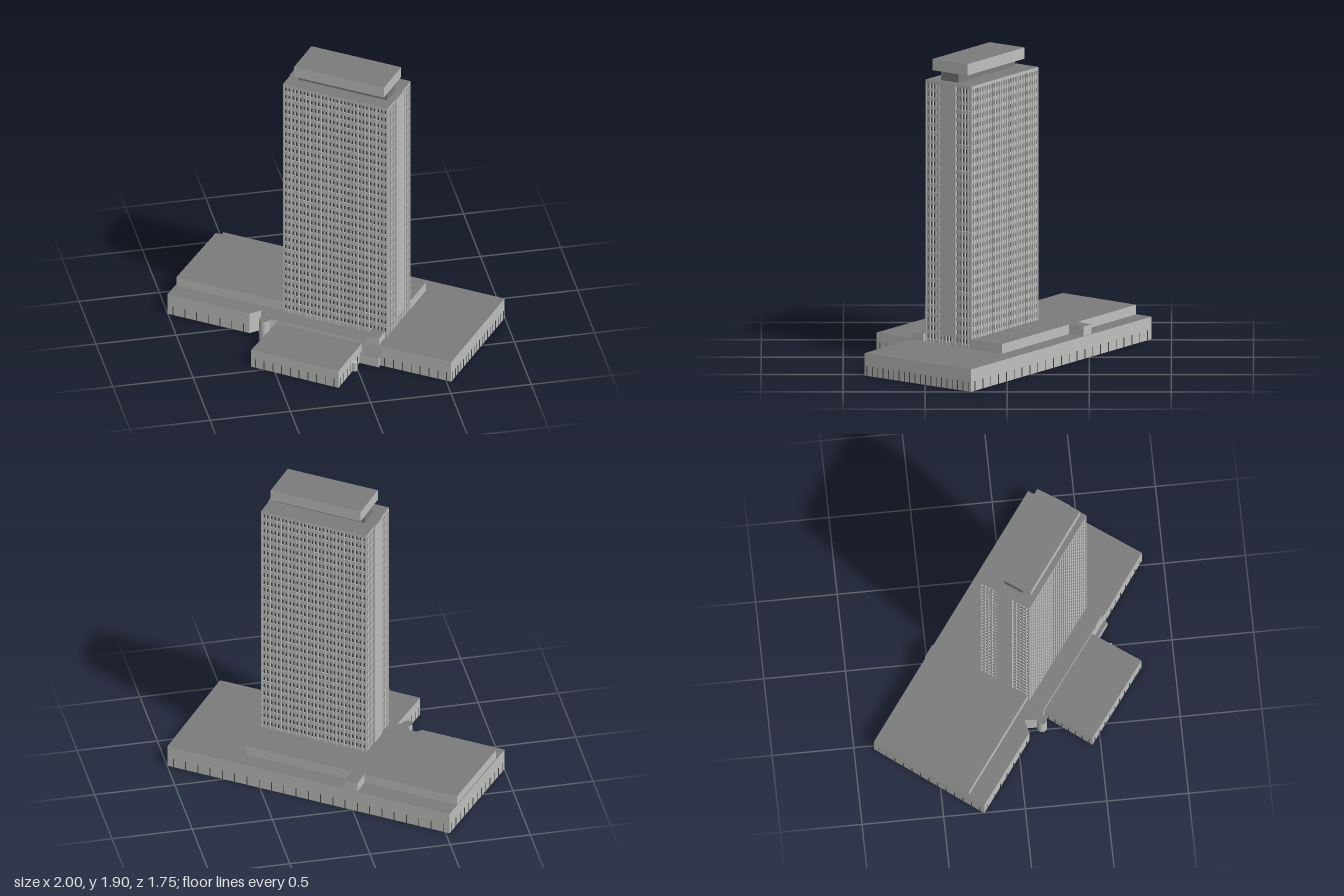
import * as THREE from 'three';
import { mergeGeometries } from 'three/addons/utils/BufferGeometryUtils.js';

const material = (name, color) => {
  const m = new THREE.MeshStandardMaterial({ color, side: THREE.DoubleSide });
  m.name = name;
  return m;
};

export function createModel() {
  const wall = material('pale concrete', 0xc0c1be);
  const roof = material('grey roofing', 0x7c7c7c);
  const dark = material('dark glazing', 0x4c4c4c);

  // The whole building is turned on its plot; parts are placed along its own axes
  const model = new THREE.Group();
  model.name = 'towerBlock';
  const building = new THREE.Group();
  building.name = 'building';
  building.rotation.y = -0.623;
  model.add(building);

  const add = (name, geometry, mat) => {
    const mesh = new THREE.Mesh(geometry, mat);
    mesh.name = name;
    building.add(mesh);
  };
  const boxGeo = (x0, x1, y0, y1, z0, z1) =>
    new THREE.BoxGeometry(x1 - x0, y1 - y0, z1 - z0)
      .translate((x0 + x1) / 2, (y0 + y1) / 2, (z0 + z1) / 2);
  const roofed = [wall, wall, roof, wall, wall, wall];
  const block = (name, ...r) => add(name, boxGeo(...r), roofed);
  const rect = (x0, x1, z0, z1) => [[x0, z0], [x0, z1], [x1, z1], [x1, z0]];

  // Thin walls around a plan outline of [x, z] corners, facing outwards
  const wallsGeo = (outline, y0, y1) => mergeGeometries(outline.map(([ax, az], i) => {
    const [bx, bz] = outline[(i + 1) % outline.length];
    return new THREE.PlaneGeometry(Math.hypot(bx - ax, bz - az), y1 - y0)
      .rotateY(-Math.atan2(bz - az, bx - ax))
      .translate((ax + bx) / 2, (y0 + y1) / 2, (az + bz) / 2);
  }));

  // Hollow flat-roofed storey, open below, with an optional opening in the roof
  const shell = (name, outline, y0, y1, opening) => {
    const points = (list) => list.map(([x, z]) => new THREE.Vector2(x, -z));
    const shape = new THREE.Shape(points(outline));
    if (opening) shape.holes.push(new THREE.Path(points(opening)));
    add(name + 'Roof', new THREE.ShapeGeometry(shape).rotateX(-Math.PI / 2).translate(0, y1, 0), roof);
    add(name + 'Walls', wallsGeo(outline, y0, y1), wall);
  };

  const X0 = -0.235, X1 = 0.463, Z0 = -0.065, Z1 = 0.282, Y0 = 0.14, Y1 = 1.777;

  // Raised terrace with a short link to the back edge
  const terrace = [
    [-0.936, -0.294], [-0.322, -0.294], [-0.322, -0.402], [-0.235, -0.402], [-0.235, -0.294],
    [0.464, -0.293], [0.464, -0.062], [0.445, -0.062], [0.445, 0.267], [-0.951, 0.267],
  ];
  shell('terrace', terrace, 0.14, 0.2);

  // Podium, with a notched entrance in its front edge
  shell('podium', [
    [-0.936, -0.408], [0.94, -0.404], [0.937, 0.397], [0.466, 0.4], [0.339, 0.39],
    [-0.233, 0.385], [-0.306, 0.404], [-0.361, 0.318], [-0.413, 0.383], [-0.961, 0.381],
  ], 0, 0.14, terrace);

  // Foot of the tower's front wall, running down inside the podium
  add('towerFoot', boxGeo(X0, X1, 0, 0.14, 0.262, 0.267), wall);

  // Front wing and small entrance parts
  shell('frontWing', [[-0.235, 0.386], [0.338, 0.391], [0.337, 0.739], [-0.248, 0.731]], 0, 0.12);
  block('entranceBox', 0.37, 0.455, 0.13, 0.187, 0.302, 0.396);
  block('entrancePorch', 0.339, 0.466, 0, 0.065, 0.402, 0.425);
  add('entrancePost', new THREE.CylinderGeometry(0.016, 0.016, 0.06, 12).translate(0.346, 0.03, 0.514), wall);
  add('cornerDrum', new THREE.CylinderGeometry(0.032, 0.032, 0.142, 20).translate(-0.303, 0.071, 0.408), [wall, roof, wall]);

  // Narrow slots along the foot of the low walls, from a to b
  const slots = [];
  const slotRow = (a, b, step) => {
    const dx = b[0] - a[0], dz = b[1] - a[1];
    const n = Math.round(Math.hypot(dx, dz) / step);
    for (let i = 0; i < n; i++) {
      const t = (i + 0.5) / n;
      slots.push(new THREE.BoxGeometry(0.005, 0.06, 0.005)
        .rotateY(-Math.atan2(dz, dx))
        .translate(a[0] + dx * t, 0.031, a[1] + dz * t));
    }
  };
  slotRow([-0.936, -0.408], [0.94, -0.404], 0.08);
  slotRow([0.94, -0.404], [0.937, 0.397], 0.04);
  slotRow([0.937, 0.397], [0.466, 0.4], 0.06);
  slotRow([-0.413, 0.383], [-0.961, 0.381], 0.08);
  slotRow([-0.961, 0.381], [-0.936, -0.408], 0.06);
  slotRow([0.337, 0.739], [-0.248, 0.731], 0.06);
  slotRow([-0.248, 0.731], [-0.235, 0.39], 0.05);
  slotRow([0.338, 0.43], [0.337, 0.739], 0.05);
  add('wallSlots', mergeGeometries(slots), dark);

  // Tower: recessed glazing behind a grid of fins and floor bands
  const deep = 0.01;
  add('towerGlazing', wallsGeo(rect(X0 + deep, X1 - deep, Z0 + deep, Z1 - deep), Y0, Y1 - 0.01), dark);

  const bands = [], floors = 30, rise = (Y1 - 0.02 - Y0) / floors, out = 0.004;
  for (let i = 0; i < floors; i++) {
    const y = Y0 + i * rise, top = y + rise * 0.45;
    bands.push(
      boxGeo(X0 + out, X1 - out, y, top, Z0 + out, Z0 + deep),
      boxGeo(X0 + out, X1 - out, y, top, Z1 - deep, Z1 - out),
      boxGeo(X0 + out, X0 + deep, y, top, Z0 + deep, Z1 - deep),
      boxGeo(X1 - deep, X1 - out, y, top, Z0 + deep, Z1 - deep),
    );
  }
  add('floorBands', mergeGeometries(bands), wall);

  const fins = [], half = 0.005, longBays = 28, shortBays = 14;
  for (let i = 0; i <= longBays; i++) {
    const x = THREE.MathUtils.lerp(X0 + half, X1 - half, i / longBays);
    fins.push(boxGeo(x - half, x + half, Y0, Y1 - 0.01, Z0, Z0 + deep));
    fins.push(boxGeo(x - half, x + half, Y0, Y1 - 0.01, Z1 - deep, Z1));
  }
  for (let i = 1; i < shortBays; i++) {
    const z = THREE.MathUtils.lerp(Z0 + half, Z1 - half, i / shortBays);
    fins.push(boxGeo(X0, X0 + deep, Y0, Y1 - 0.01, z - half, z + half));
    fins.push(boxGeo(X1 - deep, X1, Y0, Y1 - 0.01, z - half, z + half));
  }
  add('towerFins', mergeGeometries(fins), wall);
  block('towerCap', X0, X1, Y1 - 0.02, Y1, Z0, Z1);

  // Blank panel up the middle of each end wall
  block('endPanelLeft', X1 - deep, X1 + 0.006, 0.2, Y1 - 0.001, 0.053, 0.16);
  block('endPanelRight', X0 - 0.006, X0 + deep, 0.2, Y1 - 0.001, 0.053, 0.16);

  // Plant room on the roof: darker neck under an overhanging top
  add('plantRoomNeck', boxGeo(-0.168, 0.421, Y1, 1.832, 0.065, 0.195), roof);
  block('plantRoomTop', -0.172, 0.426, 1.832, 1.902, -0.006, 0.256);

  return model;
}
